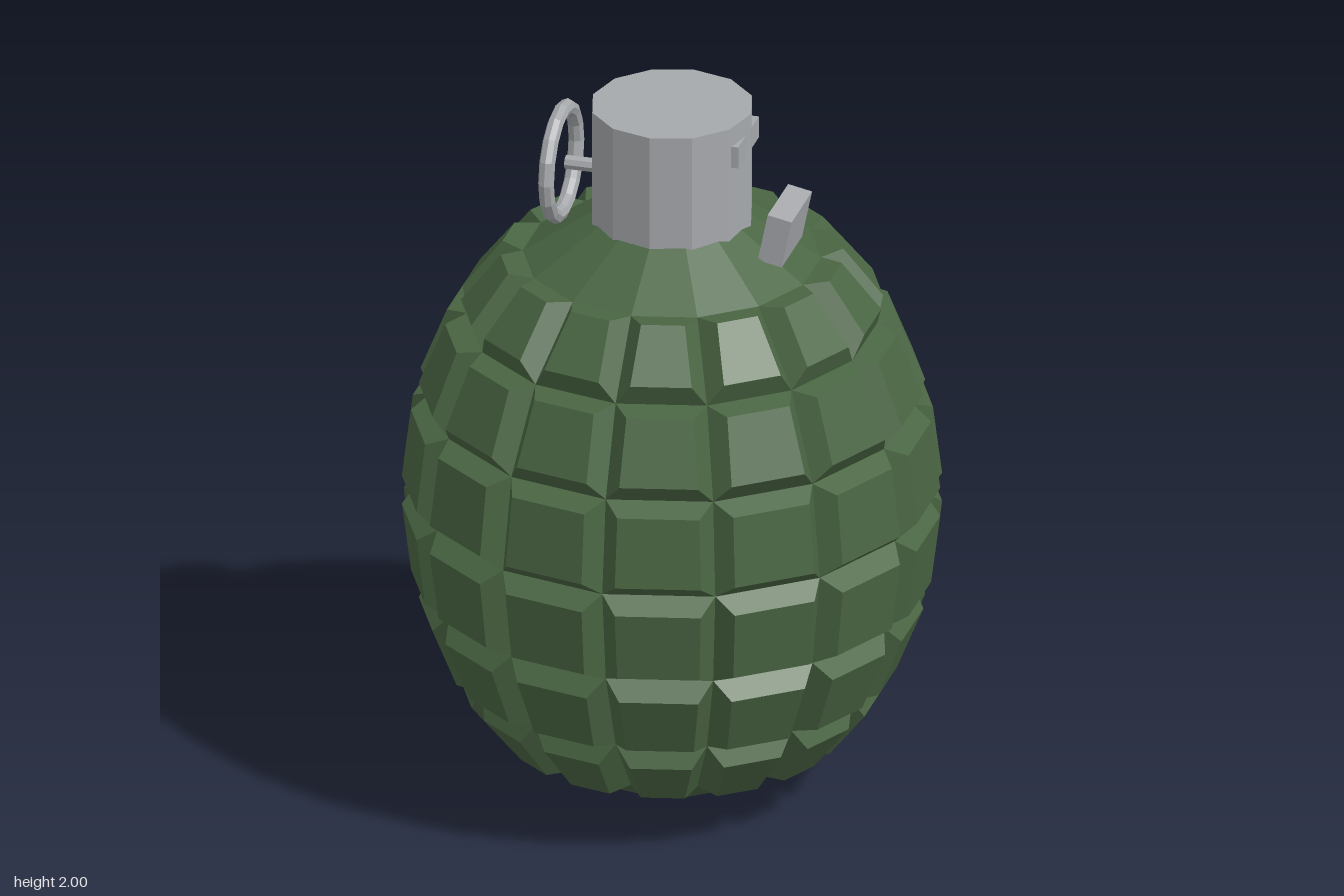
import * as THREE from 'three';

const SIDES = 14, RINGS = 10, RADIUS = 0.68, HALF_HEIGHT = 0.86;
const INSET = 0.035, RAISE = 0.055;

// Radius and height of the egg-shaped core at ring k, counted from the bottom pole
const ring = (k) => {
  const a = (k * Math.PI) / RINGS;
  return { r: RADIUS * Math.sin(a), y: HALF_HEIGHT * (1 - Math.cos(a)) };
};

// Split the faces apart so that each one is shaded flat
function faceted(geometry) {
  const flat = geometry.index ? geometry.toNonIndexed() : geometry;
  flat.computeVertexNormals();
  return flat;
}

// One raised, bevelled block over the core facet between rings k and k + 1, facing +z
function blockGeometry(k) {
  const half = Math.PI / SIDES;
  const edge = ({ r, y }) => ({ w: r * Math.sin(half), p: new THREE.Vector3(0, y, r * Math.cos(half)) });
  const low = edge(ring(k)), high = edge(ring(k + 1));
  const up = high.p.clone().sub(low.p);
  const t = INSET / up.length();
  const normal = new THREE.Vector3(0, -up.z, up.y).normalize();
  const corner = (s, f, inset, raise) => {
    const v = low.p.clone().addScaledVector(up, f).addScaledVector(normal, raise);
    v.x = s * (THREE.MathUtils.lerp(low.w, high.w, f) - inset);
    return v;
  };
  const loop = (f, inset, raise) => [
    corner(-1, f, inset, raise), corner(1, f, inset, raise),
    corner(1, 1 - f, inset, raise), corner(-1, 1 - f, inset, raise),
  ];
  const base = loop(0, 0, 0), top = loop(t, INSET, RAISE);
  const points = [];
  const quad = (a, b, c, d) => points.push(a, b, c, a, c, d);
  quad(...top);
  for (let j = 0; j < 4; j++) {
    const n = (j + 1) % 4;
    quad(base[j], base[n], top[n], top[j]);
  }
  return faceted(new THREE.BufferGeometry().setFromPoints(points));
}

export function createModel() {
  const green = new THREE.MeshStandardMaterial({ color: 0x4a6643 });
  green.name = 'olive green';
  const grey = new THREE.MeshStandardMaterial({ color: 0xa6a9ac });
  grey.name = 'steel grey';

  const model = new THREE.Group();
  const add = (name, geometry, material, x = 0, y = 0, z = 0, parent = model) => {
    const mesh = new THREE.Mesh(faceted(geometry), material);
    mesh.name = name;
    mesh.position.set(x, y, z);
    parent.add(mesh);
    return mesh;
  };

  // Egg-shaped core
  const profile = [];
  for (let k = 0; k <= RINGS; k++) {
    const { r, y } = ring(k);
    profile.push(new THREE.Vector2(Math.max(r, 0), y));
  }
  add('bodyCore', new THREE.LatheGeometry(profile, SIDES), green);

  // Six rows of raised blocks, leaving grooves between them
  const blocks = new THREE.Group();
  blocks.name = 'raisedBlocks';
  model.add(blocks);
  for (let k = 2; k < RINGS - 2; k++) {
    const geometry = blockGeometry(k);
    for (let i = 0; i < SIDES; i++) {
      const block = add('block', geometry, green, 0, 0, 0, blocks);
      block.rotation.y = ((i + 0.5) * 2 * Math.PI) / SIDES;
    }
  }

  // Neck
  add('neck', new THREE.CylinderGeometry(0.22, 0.22, 0.34, 12), grey, 0, 1.83, 0);

  // Pull ring and its pin on the right side
  const pullRing = new THREE.TorusGeometry(0.148, 0.022, 8, 16).rotateY(Math.PI / 2);
  add('pullRing', pullRing, grey, -0.308, 1.79, 0);
  add('pin', new THREE.CylinderGeometry(0.02, 0.02, 0.11, 8).rotateZ(Math.PI / 2), grey, -0.24, 1.79, 0);

  // Lever bracket and lever foot on the left side
  add('leverBracket', new THREE.BoxGeometry(0.04, 0.062, 0.2), grey, 0.193, 1.914, 0);
  add('leverFoot', new THREE.BoxGeometry(0.068, 0.14, 0.2), grey, 0.314, 1.68, 0).rotation.z = -0.2;

  return model;
}
